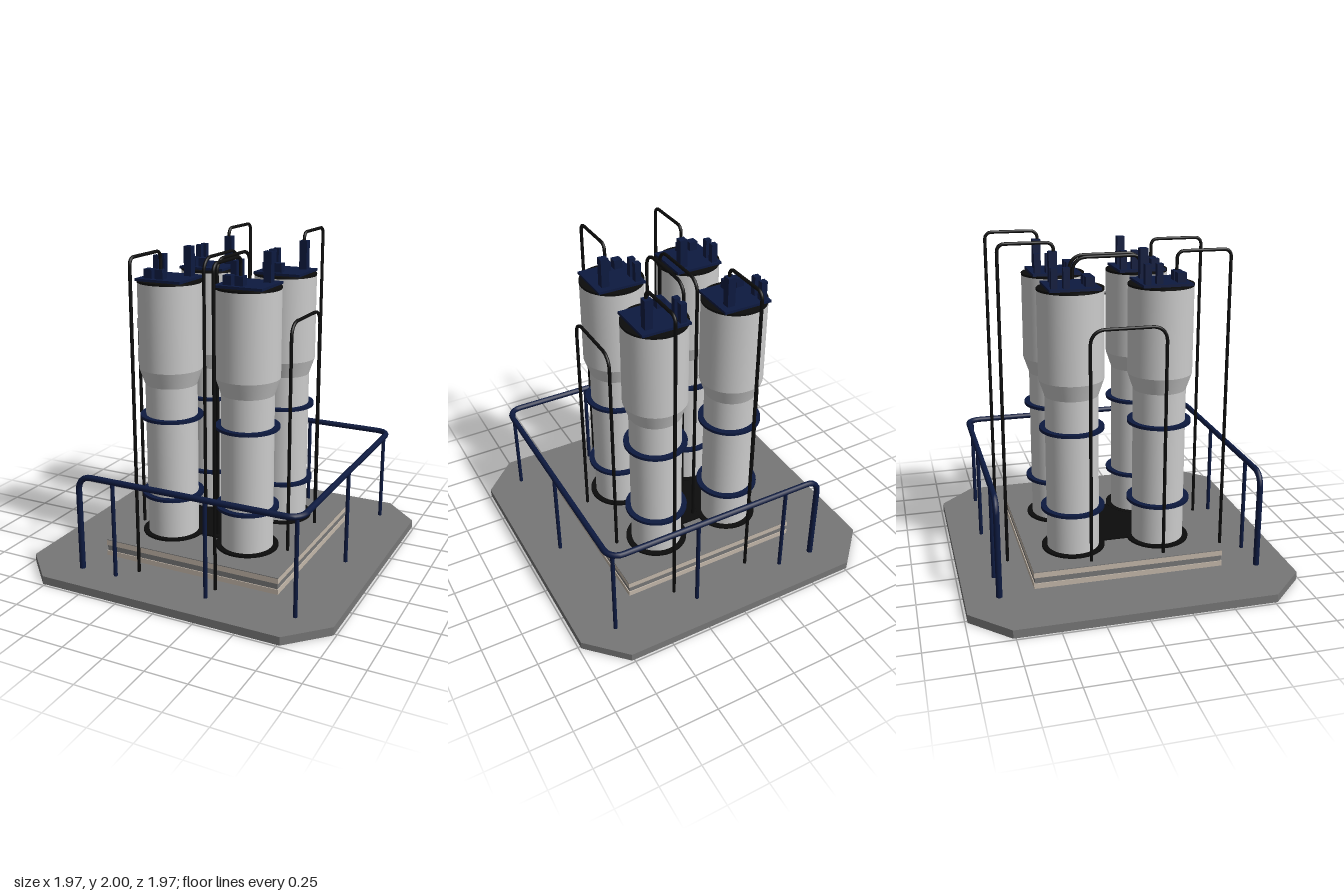
import * as THREE from 'three';

const mat = (color) => new THREE.MeshStandardMaterial({ color });
const MAT = {
  tank: mat(0xcccccc),
  floor: mat(0x777777),
  stone: mat(0xc4b8aa),
  navy: mat(0x0d1a40),
  black: mat(0x0c0c0c),
};

function add(parent, name, geometry, material, x = 0, y = 0, z = 0) {
  const mesh = new THREE.Mesh(geometry, material);
  mesh.name = name;
  mesh.position.set(x, y, z);
  parent.add(mesh);
  return mesh;
}

// Box and cylinder given by their bottom and top heights
const box = (parent, name, material, x, z, w, d, y0, y1) =>
  add(parent, name, new THREE.BoxGeometry(w, y1 - y0, d), material, x, (y0 + y1) / 2, z);
const cyl = (parent, name, material, x, z, r0, r1, y0, y1, open = false, sides = 40) =>
  add(parent, name, new THREE.CylinderGeometry(r1, r0, y1 - y0, sides, 1, open), material, x, (y0 + y1) / 2, z);

// Pipe through corner points, each inner corner rounded by a bend
function pipe(parent, name, material, points, radius, bend) {
  const pts = points.map((p) => new THREE.Vector3(...p));
  const path = [pts[0]];
  for (let i = 1; i < pts.length - 1; i++) {
    const toward = (q) => q.clone().sub(pts[i]).normalize().multiplyScalar(bend).add(pts[i]);
    const a = toward(pts[i - 1]), b = toward(pts[i + 1]);
    // Circular arc about the centre a + b - corner
    const centre = a.clone().add(b).sub(pts[i]);
    const u = a.clone().sub(centre), v = b.clone().sub(centre);
    for (let k = 0; k <= 6; k++) {
      const t = (k / 6) * Math.PI / 2;
      path.push(centre.clone().addScaledVector(u, Math.cos(t)).addScaledVector(v, Math.sin(t)));
    }
  }
  path.push(pts[pts.length - 1]);
  const curve = new THREE.CurvePath();
  for (let i = 1; i < path.length; i++) curve.add(new THREE.LineCurve3(path[i - 1], path[i]));
  const group = new THREE.Group();
  group.name = name;
  parent.add(group);
  add(group, name + 'Tube', new THREE.TubeGeometry(curve, 200, radius, 12), material);
  for (const end of [path[0], path[path.length - 1]]) {
    add(group, name + 'End', new THREE.SphereGeometry(radius, 12, 8), material, end.x, end.y, end.z);
  }
}

function makeTank(x, z) {
  const g = new THREE.Group();
  g.name = 'tank';
  g.position.set(x, 0, z);
  cyl(g, 'baseFlange', MAT.black, 0, 0, 0.192, 0.192, 0.155, 0.167);
  cyl(g, 'lowerShell', MAT.tank, 0, 0, 0.158, 0.158, 0.165, 1.12, true);
  cyl(g, 'flare', MAT.tank, 0, 0, 0.158, 0.192, 1.12, 1.22, true);
  cyl(g, 'upperShell', MAT.tank, 0, 0, 0.192, 0.192, 1.22, 1.74, true);
  cyl(g, 'topFlange', MAT.black, 0, 0, 0.193, 0.193, 1.737, 1.75);
  for (const y of [0.42, 0.92]) cyl(g, 'hoop', MAT.navy, 0, 0, 0.192, 0.192, y - 0.009, y + 0.009);
  // Square lid with its fittings: x, z, size, top height
  box(g, 'lid', MAT.navy, 0, 0, 0.3, 0.295, 1.75, 1.765);
  const fittings = [
    [-0.108, -0.115, 0.037, 1.88],
    [-0.108, -0.046, 0.037, 1.88],
    [-0.078, 0.092, 0.052, 1.82],
    [-0.005, 0.092, 0.052, 1.82],
    [0.088, -0.083, 0.048, 1.94],
  ];
  for (const [fx, fz, s, top] of fittings) box(g, 'lidFitting', MAT.navy, fx, fz, s, s, 1.76, top);
  return g;
}

export function createModel() {
  const model = new THREE.Group();
  model.name = 'tankStation';

  // Ground slab with cut corners
  const s = 0.985, c = 0.765;
  const outline = [[c, -s], [s, -c], [s, c], [c, s], [-c, s], [-s, c], [-s, -c], [-c, -s]];
  const slab = new THREE.ExtrudeGeometry(
    new THREE.Shape(outline.map(([x, y]) => new THREE.Vector2(x, y))),
    { depth: 0.05, bevelEnabled: false });
  slab.rotateX(-Math.PI / 2);
  add(model, 'groundSlab', slab, MAT.floor);

  // Layered plinth and the dark pad joining the tank feet
  box(model, 'plinthLower', MAT.stone, 0, 0, 1.155, 1.155, 0.05, 0.082);
  box(model, 'plinthMiddle', MAT.floor, 0, 0, 1.145, 1.145, 0.082, 0.118);
  box(model, 'plinthUpper', MAT.stone, 0, 0, 1.155, 1.155, 0.118, 0.151);
  box(model, 'plinthTop', MAT.floor, 0, 0, 1.155, 1.155, 0.151, 0.155);
  box(model, 'footPad', MAT.black, -0.025, -0.01, 0.51, 0.535, 0.155, 0.165);

  const tankX = [-0.28, 0.232], backZ = -0.28, frontZ = 0.255;
  for (const x of tankX) {
    model.add(makeTank(x, backZ), makeTank(x, frontZ));
    // Pipes from the lids down to the ground slab
    const bx = x + 0.088, bz = backZ - 0.075, fx = x - 0.004, fz = frontZ + 0.092;
    pipe(model, 'backPipe', MAT.black,
      [[bx, 1.92, bz], [bx, 1.99, bz], [bx, 1.99, -0.675], [bx, 0.05, -0.675]], 0.01, 0.04);
    pipe(model, 'frontPipe', MAT.black,
      [[fx, 1.8, fz], [fx, 1.928, fz], [fx, 1.928, 0.677], [fx, 0.05, 0.677]], 0.01, 0.04);
  }

  // Arched pipes standing on the plinth: x, top height
  for (const [x, top] of [[-0.518, 1.55], [0.486, 1.55], [-0.07, 1.88], [0.016, 1.88]]) {
    pipe(model, 'archPipe', MAT.black,
      [[x, 0.155, 0.222], [x, top, 0.222], [x, top, -0.222], [x, 0.155, -0.222]], 0.01, 0.08);
  }

  // Guard rail, open on one side
  const r = 0.786, ry = 0.645, ex = -0.615;
  pipe(model, 'guardRail', MAT.navy,
    [[ex, 0.05, -r], [ex, ry, -r], [r, ry, -r], [r, ry, r], [ex, ry, r], [ex, 0.05, r]], 0.018, 0.08);
  const post = (x, z) => cyl(model, 'railPost', MAT.navy, x, z, 0.012, 0.012, 0.05, ry, false, 12);
  for (const side of [-1, 1]) {
    post(-0.38, side * r);
    post(0.222, side * r);
    post(0.76, side * 0.76);
  }
  post(r - 0.003, 0.01);

  return model;
}
